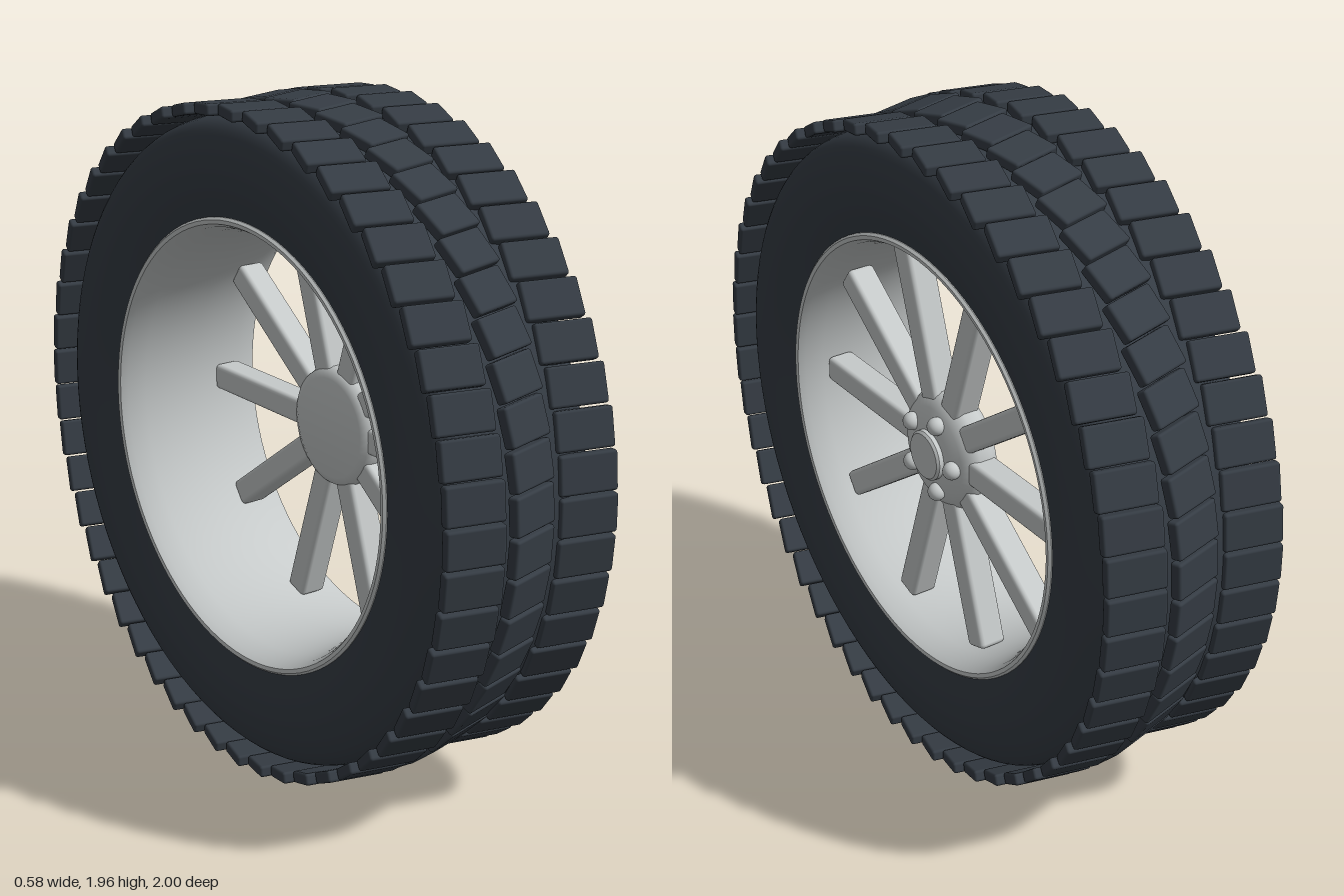
import * as THREE from 'three';
import { mergeGeometries, toCreasedNormals } from 'three/addons/utils/BufferGeometryUtils.js';
import { RoundedBoxGeometry } from 'three/addons/geometries/RoundedBoxGeometry.js';

const AXLE_HEIGHT = 0.983;

function material(name, color) {
  const m = new THREE.MeshStandardMaterial({ color });
  m.name = name;
  return m;
}

// Turn a profile of [x, radius] points around the axle (x axis).
function turned(points, segments = 96) {
  const g = new THREE.LatheGeometry(points.map(([x, r]) => new THREE.Vector2(r, x)), segments);
  return g.rotateZ(-Math.PI / 2);
}

export function createModel() {
  const rubber = material('dark rubber', 0x353c44);
  const alloy = material('light alloy', 0xc6caca);
  const black = material('black valve', 0x1b1e21);

  const wheel = new THREE.Group();
  wheel.name = 'wheel';
  wheel.position.y = AXLE_HEIGHT;

  const add = (name, geometry, mat) => {
    const mesh = new THREE.Mesh(geometry, mat);
    mesh.name = name;
    wheel.add(mesh);
    return mesh;
  };

  // Tire carcass: rounded sidewalls and shoulders
  const half = [[0.235, 0.655], [0.255, 0.72], [0.265, 0.79], [0.258, 0.86], [0.235, 0.915], [0.19, 0.94], [0.1, 0.946]];
  const section = [...half.map(([x, r]) => new THREE.Vector2(-x, r)), ...half.slice().reverse().map(([x, r]) => new THREE.Vector2(x, r))];
  const tirePoints = new THREE.SplineCurve(section).getPoints(48).map(p => [p.x, p.y]);
  add('tire', turned(tirePoints), rubber);

  // Tread: three columns of blocks, each block yawed about the vertical
  const COUNT = 52;
  const STEP = Math.PI * 2 / COUNT;
  const columns = [
    { name: 'treadRight', x: -0.193, yaw: -0.26, offset: 0 },
    { name: 'treadCentre', x: 0, yaw: 0.26, offset: 0.5 },
    { name: 'treadLeft', x: 0.193, yaw: -0.26, offset: 0 },
  ];
  const block = new RoundedBoxGeometry(0.17, 0.034, 0.11, 2, 0.008);
  for (const { name, x, yaw, offset } of columns) {
    const blocks = [];
    for (let i = 0; i < COUNT; i++) {
      const a = (i + offset) * STEP;
      const m = new THREE.Matrix4().makeRotationY(yaw)
        .multiply(new THREE.Matrix4().makeRotationX(a))
        .setPosition(x, 0.963 * Math.cos(a), 0.963 * Math.sin(a));
      blocks.push(block.clone().applyMatrix4(m));
    }
    add(name, mergeGeometries(blocks), rubber);
  }

  // Rim: closed section with lips and a waisted barrel
  const rim = turned([
    [-0.24, 0.662], [0.24, 0.662], [0.247, 0.655], [0.245, 0.643], [0.225, 0.632],
    [0.17, 0.618], [0.1, 0.607], [0, 0.6], [-0.1, 0.607], [-0.17, 0.618],
    [-0.225, 0.632], [-0.245, 0.643], [-0.247, 0.655], [-0.24, 0.662],
  ]);
  add('rim', toCreasedNormals(rim, 0.6), alloy);

  // Ten straight spokes
  const spoke = new RoundedBoxGeometry(0.085, 0.46, 0.078, 2, 0.014);
  const spokes = new THREE.Group();
  spokes.name = 'spokes';
  for (let i = 0; i < 10; i++) {
    const a = (i + 0.5) * Math.PI / 5;
    const s = new THREE.Mesh(spoke, alloy);
    s.name = 'spoke';
    s.position.set(0.12, 0.378 * Math.cos(a), 0.378 * Math.sin(a));
    s.rotation.x = a;
    spokes.add(s);
  }
  wheel.add(spokes);

  // Domed hub with raised centre cap
  const hub = turned([
    [0.065, 0], [0.065, 0.15], [0.075, 0.172], [0.095, 0.18], [0.135, 0.18],
    [0.155, 0.17], [0.175, 0.14], [0.188, 0.1], [0.193, 0.06], [0.193, 0],
  ], 48);
  add('hub', toCreasedNormals(hub, 0.8), alloy);
  const cap = turned([[0.18, 0.075], [0.205, 0.075], [0.212, 0.068], [0.212, 0]], 40);
  add('hubCap', toCreasedNormals(cap, 0.5), alloy);

  // Five round wheel bolts
  const bolt = new THREE.SphereGeometry(0.027, 20, 14);
  for (let i = 0; i < 5; i++) {
    const a = i * Math.PI * 2 / 5;
    add('wheelBolt', bolt, alloy).position.set(0.19, 0.113 * Math.sin(a), -0.113 * Math.cos(a));
  }

  // Valve stem inside the top of the rim
  const valve = add('valve', turned([
    [-0.05, 0], [-0.05, 0.014], [0.01, 0.014], [0.015, 0.009], [0.05, 0.009], [0.05, 0],
  ], 16), black);
  valve.position.set(0.13, 0.598, 0);
  valve.rotation.z = -0.2;

  const model = new THREE.Group();
  model.name = 'model';
  model.add(wheel);
  return model;
}
